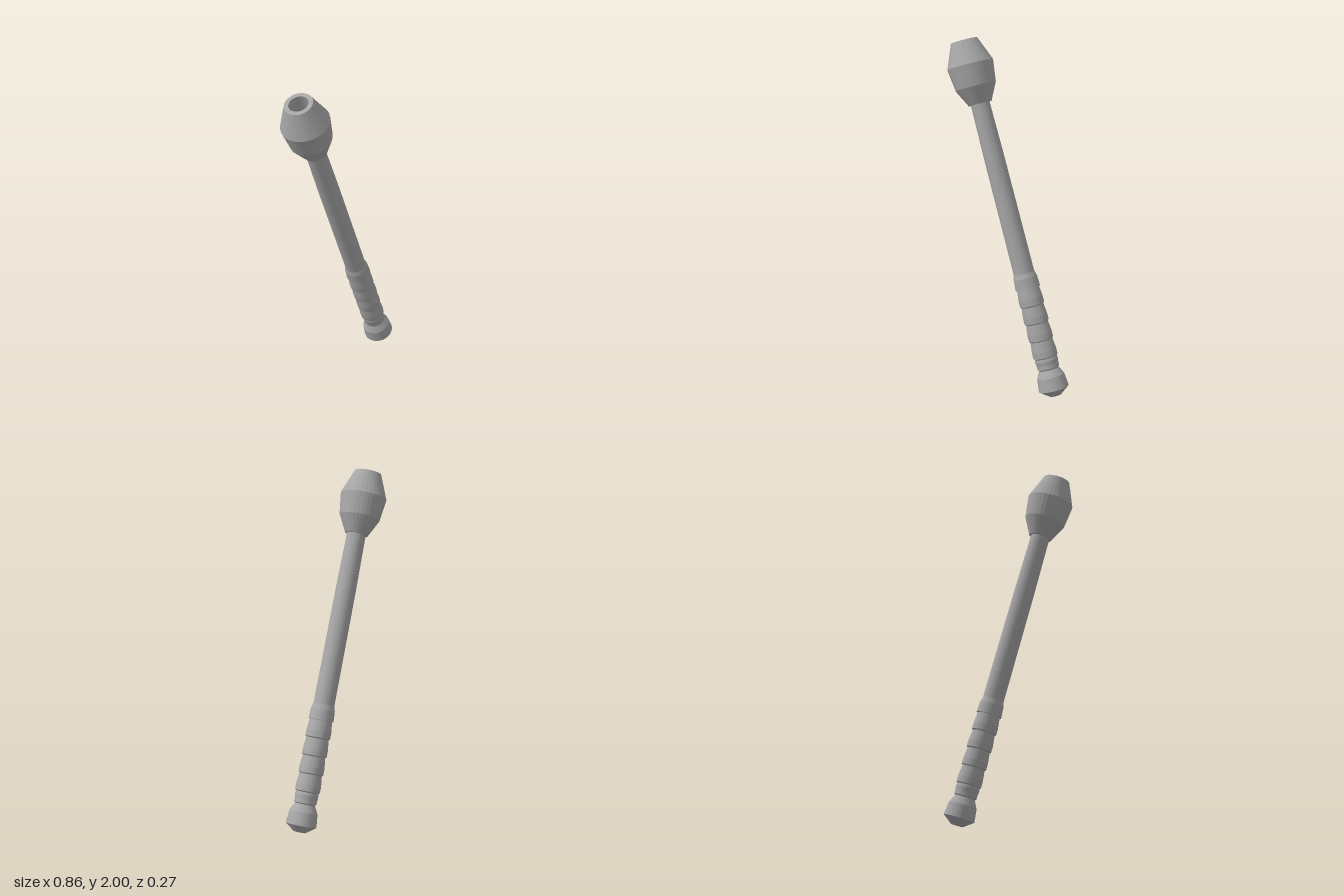
import * as THREE from 'three';

const SIDES = 32;

export function createModel() {
  const metal = new THREE.MeshStandardMaterial({ color: 0xa6a6a6, flatShading: true });
  metal.name = 'grey';

  // Everything is turned around one axis, then leaned over as a whole
  const club = new THREE.Group();
  club.name = 'club';
  const turned = (name, profile) => {
    const points = profile.map(([r, y]) => new THREE.Vector2(r, y));
    const mesh = new THREE.Mesh(new THREE.LatheGeometry(points, SIDES), metal);
    mesh.name = name;
    club.add(mesh);
  };

  // Pommel with a blunt conical end
  turned('pommel', [
    [0, 0], [0.035, 0], [0.088, 0.04], [0.08, 0.115], [0.056, 0.16], [0, 0.16],
  ]);

  // Grip: stacked swelling segments with narrow grooves between them
  const grip = [[0, 0.15], [0.056, 0.15]];
  const ledges = [0.16, 0.228, 0.33, 0.432, 0.535, 0.638];
  for (let i = 0; i < ledges.length - 1; i++) {
    const a = ledges[i], b = ledges[i + 1], step = b - a;
    const size = i === 0 ? 0.064 : 0.071;
    grip.push(
      [size - 0.006, a], [size, a + 0.005], [size, a + step * 0.4],
      [0.067, a + step * 0.75], [0.064, b - 0.001],
    );
  }
  // Flared collar above the last groove
  grip.push([0.072, 0.638], [0.068, 0.7], [0.058, 0.735], [0, 0.735]);
  turned('grip', grip);

  // Slightly tapered shaft
  turned('shaft', [[0, 0.72], [0.06, 0.72], [0.058, 1.4], [0.054, 1.74], [0, 1.74]]);

  // Barrel-shaped head with a round socket in its top
  turned('head', [
    [0, 1.72], [0.066, 1.72], [0.117, 1.82], [0.133, 1.945], [0.077, 2.084],
    [0.053, 2.084], [0.053, 1.94], [0, 1.94],
  ]);

  club.rotation.z = THREE.MathUtils.degToRad(20);
  club.position.set(0.358, 0.013, 0);

  const model = new THREE.Group();
  model.name = 'leaningClub';
  model.add(club);
  return model;
}
